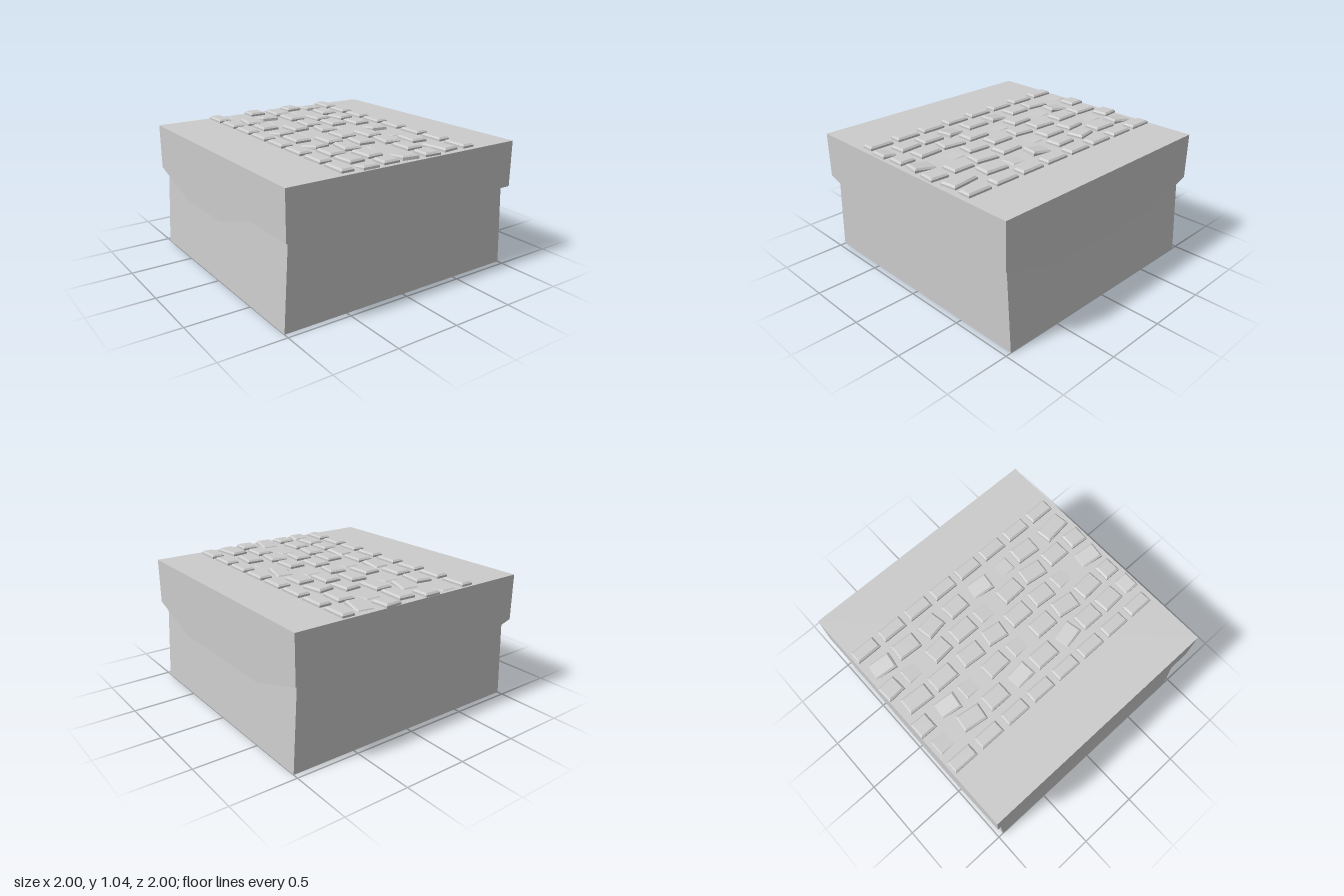
import * as THREE from 'three';

const material = new THREE.MeshStandardMaterial({ color: 0xcccccc, flatShading: true });
const TOP = 1.01;

function addMesh(parent, name, geometry, mat = material) {
  const mesh = new THREE.Mesh(geometry, mat);
  mesh.name = name;
  parent.add(mesh);
  return mesh;
}

// Lower block: front and back stay upright, the sides lean inwards
function baseGeometry() {
  const g = new THREE.BoxGeometry(2, 0.66, 1.91);
  g.translate(0, 0.33, 0);
  const p = g.attributes.position;
  for (let i = 0; i < p.count; i++) if (p.getY(i) > 0.1) p.setX(i, p.getX(i) * 0.96);
  return g;
}

// Overhanging upper layer: stepped lower rim, narrow underside and flat top
function capGeometry() {
  const hi = 0.65, lo = 0.5;
  const rim = [ // x, z, lower edge height; counter-clockwise from above
    [-1, 1, hi], [-0.5, 1, lo], [0, 1, lo], [0.5, 1, hi],
    [1, 1, hi], [1, 0.53, lo], [1, -0.53, lo],
    [1, -1, hi], [0.5, -1, hi], [0, -1, lo], [-0.5, -1, lo],
    [-1, -1, hi], [-1, -0.5, lo], [-1, 0.06, lo], [-1, 0.53, hi],
  ];
  const v = [];
  const quad = (a, b, c, d) => v.push(...a, ...b, ...c, ...a, ...c, ...d);
  rim.forEach(([ax, az, ay], i) => {
    const [bx, bz, by] = rim[(i + 1) % rim.length];
    const a = [ax, ay, az], b = [bx, by, bz], k = 0.95;
    quad(a, b, [bx, TOP, bz], [ax, TOP, az]);
    quad(a, [ax * k, ay, az * k], [bx * k, by, bz * k], b);
  });
  quad([-1, TOP, 1], [1, TOP, 1], [1, TOP, -1], [-1, TOP, -1]);
  const g = new THREE.BufferGeometry();
  g.setAttribute('position', new THREE.Float32BufferAttribute(v, 3));
  g.computeVertexNormals();
  return g;
}

// Paving stone with a chamfered top; its upper face lies at y = 0
function stoneGeometry(w, d) {
  const g = new THREE.BoxGeometry(w, 0.04, d, 1, 2, 1);
  const p = g.attributes.position;
  for (let i = 0; i < p.count; i++) {
    const y = p.getY(i);
    if (y > 0.01) {
      p.setX(i, p.getX(i) - Math.sign(p.getX(i)) * 0.013);
      p.setZ(i, p.getZ(i) - Math.sign(p.getZ(i)) * 0.013);
    }
    p.setY(i, y > 0.01 ? 0 : y > -0.01 ? -0.012 : -0.035);
  }
  const flat = g.toNonIndexed();
  flat.computeVertexNormals();
  return flat;
}

// Lie of a stone: height of its upper face above the ground and forward tilt
const LIE = {
  flat: [0.027, 0],
  raised: [0.02, -0.15], // front edge lifted
  sunk: [0.003, 0.06], // only the back edge shows
  sunkBack: [0.003, -0.06], // only the front edge shows
};

function addStone(parent, name, x, z, w, d, turn = 0, lie = 'flat') {
  const [h, tilt] = LIE[lie];
  const stone = addMesh(parent, name, stoneGeometry(w, d));
  stone.position.set(x, TOP + h, z);
  stone.rotation.set(tilt, -THREE.MathUtils.degToRad(turn), 0, 'YXZ');
}

// Inner rows: z, length, clockwise turn in degrees, lie
const ROWS = [
  { x: -0.33, stones: [
    [-0.9, 0.15, 0, 'sunk'], [-0.64, 0.19, 8], [-0.41, 0.18], [-0.17, 0.17, -4, 'raised'],
    [0.06, 0.2], [0.3, 0.17, -11, 'raised'], [0.515, 0.18], [0.73, 0.18, -4], [0.92, 0.12, 0, 'raised'],
  ] },
  { x: -0.147, stones: [
    [-0.93, 0.135], [-0.71, 0.17, 8, 'raised'], [-0.5, 0.15, 0, 'sunk'], [-0.25, 0.19, -3],
    [-0.03, 0.15, 0, 'sunk'], [0.22, 0.19], [0.455, 0.19, 8], [0.69, 0.19, -3], [0.9, 0.13],
  ] },
  { x: 0.035, stones: [
    [-0.835, 0.21, 3], [-0.595, 0.2], [-0.33, 0.19, 4], [-0.095, 0.17, 8],
    [0.14, 0.19], [0.38, 0.18, 4], [0.595, 0.15, 0, 'sunk'], [0.87, 0.18, 8, 'raised'],
  ] },
  { x: 0.217, stones: [
    [-0.927, 0.145, -4], [-0.73, 0.15, 0, 'sunk'], [-0.48, 0.175, -5], [-0.245, 0.19],
    [-0.03, 0.15, 0, 'sunk'], [0.225, 0.19, -2], [0.46, 0.19, 8], [0.69, 0.18], [0.905, 0.145, 4],
  ] },
  { x: 0.397, stones: [
    [-0.87, 0.18, 8, 'raised'], [-0.64, 0.19, 3], [-0.4, 0.17, -10], [-0.165, 0.175, -2],
    [0.08, 0.175, 8, 'raised'], [0.32, 0.15, 0, 'sunkBack'], [0.54, 0.195, 4], [0.84, 0.225, -7],
  ] },
];

export function createModel() {
  const group = new THREE.Group();
  group.name = 'pavedGroundBlock';

  addMesh(group, 'lowerBlock', baseGeometry());
  addMesh(group, 'upperLayer', capGeometry());

  // Even kerb rows along both edges of the path
  const kerbs = new THREE.Group();
  kerbs.name = 'kerbStones';
  for (const x of [-0.505, 0.575]) {
    for (let i = 0; i < 8; i++) addStone(kerbs, 'kerbStone', x, -0.88 + i * 0.248, 0.1, 0.2);
  }
  group.add(kerbs);

  // Irregular paving between the kerbs
  const paving = new THREE.Group();
  paving.name = 'pavingStones';
  for (const { x, stones } of ROWS) {
    for (const [z, d, turn, lie] of stones) addStone(paving, 'pavingStone', x, z, 0.132, d, turn, lie);
  }
  group.add(paving);

  return group;
}
